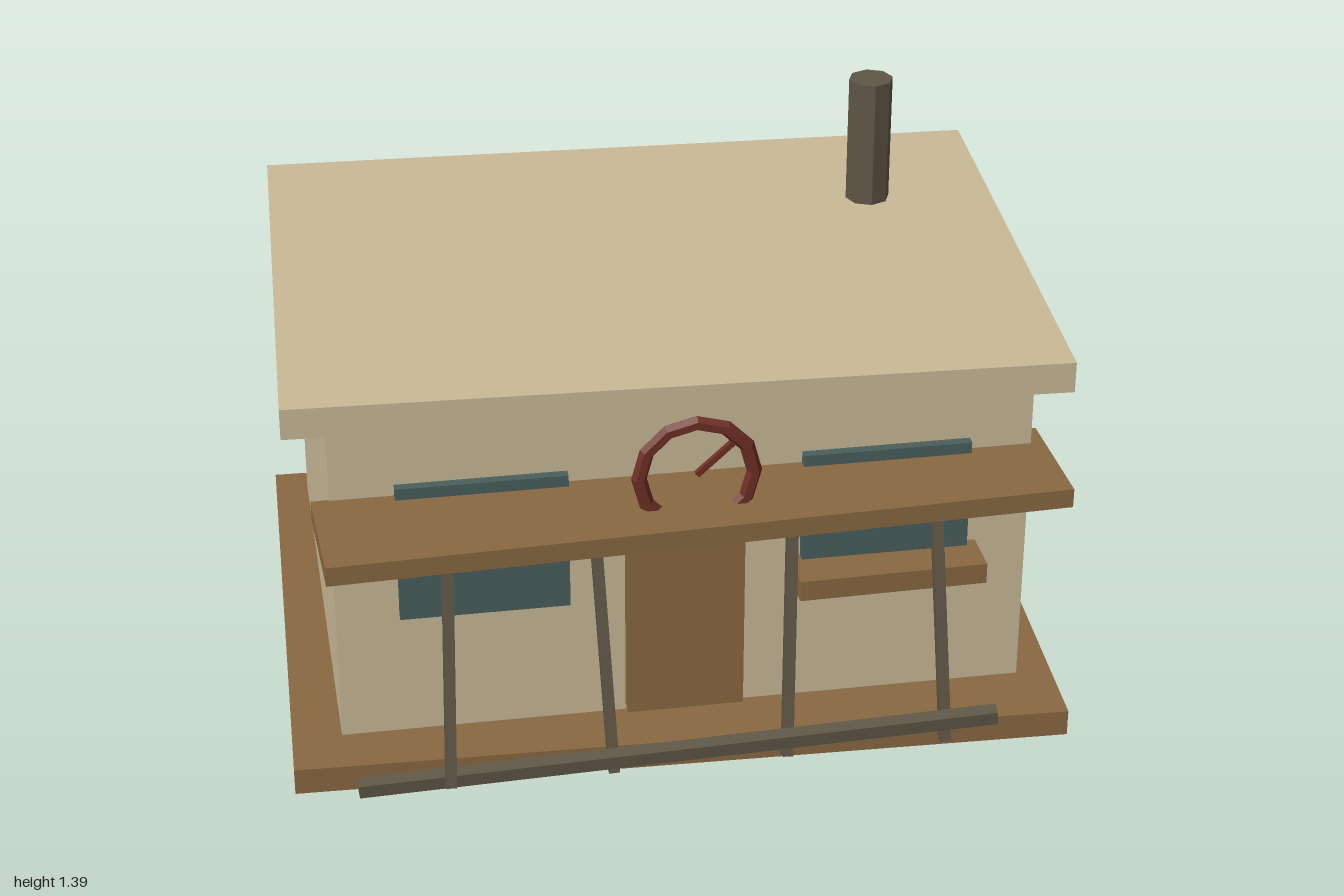
import * as THREE from 'three';

const mat = (name, color) => {
  const m = new THREE.MeshStandardMaterial({ color, flatShading: true });
  m.name = name;
  return m;
};

export function createModel() {
  const plaster = mat('plaster', 0xc9b997);
  const timber = mat('timber', 0x896941);
  const darkWood = mat('darkWood', 0x5f5645);
  const glass = mat('glass', 0x4a5f5c);
  const red = mat('redPaint', 0x6e2f25);

  const model = new THREE.Group();
  model.name = 'hut';

  const add = (name, geometry, material, x, y, z, turn = 0, parent = model) => {
    const mesh = new THREE.Mesh(geometry, material);
    mesh.name = name;
    mesh.position.set(x, y, z);
    mesh.rotation.y = turn;
    parent.add(mesh);
    return mesh;
  };
  const box = (w, h, d) => new THREE.BoxGeometry(w, h, d);

  // square beam running between two points
  const beam = (name, a, b, thick, material, parent = model) => {
    const from = new THREE.Vector3(...a), to = new THREE.Vector3(...b);
    const dir = to.clone().sub(from);
    const mid = from.clone().add(to).multiplyScalar(0.5);
    const mesh = add(name, box(thick, dir.length(), thick), material, mid.x, mid.y, mid.z, 0, parent);
    mesh.quaternion.setFromUnitVectors(new THREE.Vector3(0, 1, 0), dir.normalize());
    return mesh;
  };

  // main building, with slightly skewed floor and roof slabs
  add('floorSlab', box(1.955, 0.07, 1.47), timber, 0, 0.035, -0.095, -0.03);
  add('walls', box(1.74, 0.93, 1.25), plaster, 0, 0.525, -0.15);
  add('roofSlab', box(1.905, 0.08, 1.385), plaster, 0, 1.012, -0.1, -0.039);
  add('chimney', new THREE.CylinderGeometry(0.058, 0.058, 0.39, 8), darkWood, 0.635, 1.195, -0.375);

  // front wall details
  add('door', box(0.295, 0.585, 0.06), timber, -0.003, 0.378, 0.485);
  for (const side of [-1, 1]) {
    add('window', box(0.422, 0.37, 0.05), glass, side * 0.502, 0.595, 0.475);
  }
  add('counter', box(0.475, 0.055, 0.13), timber, 0.503, 0.457, 0.535, 0.02);

  // crooked awning on leaning posts
  add('awning', box(1.818, 0.05, 0.312), timber, 0, 0.725, 0.592, 0.039);
  for (const side of [-1, 1]) {
    beam('outerPost', [side * 0.622, 0.055, 0.718], [side * 0.6, 0.71, 0.598], 0.027, darkWood);
    beam('innerPost', [side * 0.218, 0.055, 0.718], [side * 0.244, 0.71, 0.598], 0.027, darkWood);
  }

  // fallen rail lying across the front
  beam('fallenRail', [-0.845, 0.045, 0.675], [0.718, 0.2, 0.835], 0.036, darkWood);

  // round sign with a single hand
  const sign = new THREE.Group();
  sign.name = 'roundSign';
  sign.position.set(0, 0.832, 0.632);
  model.add(sign);
  add('signRing', new THREE.TorusGeometry(0.14, 0.019, 6, 12), red, 0, 0, 0, 0, sign);
  beam('signHand', [0, 0, 0], [0.1, 0.092, 0], 0.014, red, sign);

  return model;
}
